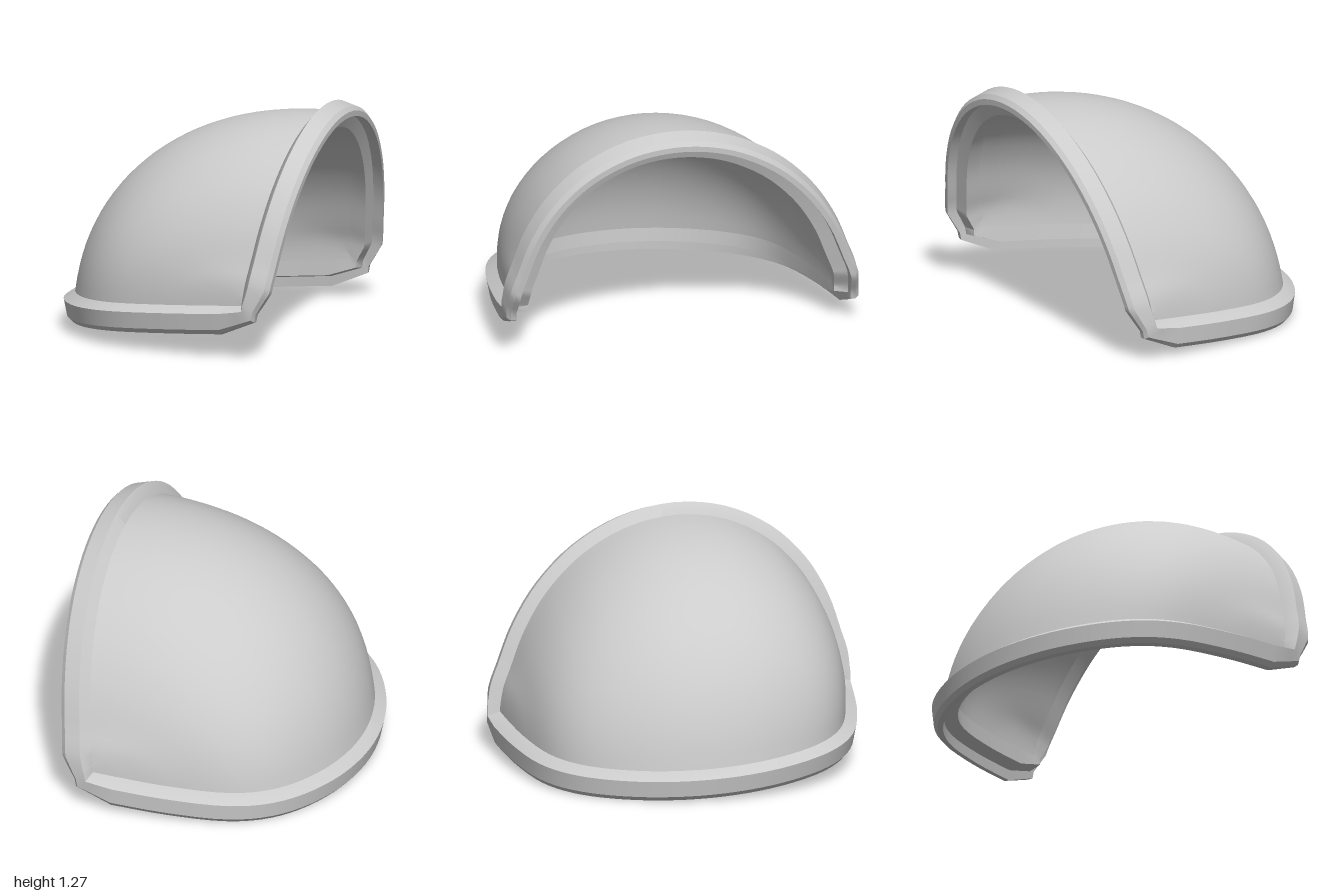
import * as THREE from 'three';
import { toCreasedNormals } from 'three/addons/utils/BufferGeometryUtils.js';

const ROWS = 56;   // steps across the hood, left corner to right corner
const COLS = 28;   // steps from the arch opening to the lower edge
const WALL = 0.075;

// Half outline: [z, height of the arch, x of the lower edge]
const HALF = [
  [0.93, 0.27, 0.47], [0.915, 0.36, 0.30], [0.88, 0.46, 0.04], [0.80, 0.67, -0.27],
  [0.68, 0.86, -0.46], [0.50, 1.03, -0.60], [0.26, 1.15, -0.70], [0, 1.19, -0.735],
];
const mirrored = HALF.slice(0, -1).reverse().map(([z, y, x]) => [-z, y, x]);
const outline = new THREE.CatmullRomCurve3(
  [...HALF, ...mirrored].map(([z, y, x]) => new THREE.Vector3(x, y, z)));

// Arch point and lower-edge point sharing the same z
function edges(i) {
  const p = outline.getPoint(i / ROWS);
  return {
    arch: new THREE.Vector3(0.485 + 0.168 * (p.y - 0.325), p.y, p.z),
    base: new THREE.Vector3(p.x, 0.15 + 0.067 * (p.x + 0.735), p.z),
  };
}

// Slight skew: the hood leans and turns a little to one side
const skew = new THREE.Matrix4().set(
  1, 0, -0.05, 0,
  0, 1, 0.045, 0,
  0.05, 0.06, 1, -0.037,
  0, 0, 0, 1);

// Surface through rows of points
function skin(rows, { closed = false, flip = false } = {}) {
  const n = rows[0].length, index = [];
  const steps = closed ? rows.length : rows.length - 1;
  for (let i = 0; i < steps; i++) {
    for (let j = 0; j < (closed ? n : n - 1); j++) {
      const i2 = (i + 1) % rows.length, j2 = (j + 1) % n;
      const a = i * n + j, b = i2 * n + j, c = i * n + j2, d = i2 * n + j2;
      if (flip) index.push(a, c, b, b, c, d);
      else index.push(a, b, c, b, d, c);
    }
  }
  const geo = new THREE.BufferGeometry().setFromPoints(rows.flat());
  geo.setIndex(index);
  geo.computeVertexNormals();
  return geo;
}

// Rounded dome: a quarter super-ellipse in every z slice
function domeRows() {
  const rows = [];
  for (let i = 0; i <= ROWS; i++) {
    const { arch, base } = edges(i);
    const centre = new THREE.Vector3(0.47, base.y, base.z);
    const up = arch.clone().sub(centre), back = base.clone().sub(centre);
    const row = [];
    for (let j = 0; j <= COLS; j++) {
      const t = (j / COLS) * Math.PI / 2;
      const c = Math.max(Math.cos(t), 0) ** 0.88, s = Math.sin(t) ** 0.88;
      row.push(centre.clone().addScaledVector(up, c).addScaledVector(back, s));
    }
    rows.push(row);
  }
  return rows;
}

// Same dome moved inward by the wall thickness
function innerRows(rows) {
  const normals = skin(rows).attributes.normal;
  const n = rows[0].length;
  return rows.map((row, i) => row.map((p, j) =>
    p.clone().addScaledVector(new THREE.Vector3().fromBufferAttribute(normals, i * n + j), -WALL)));
}

// Rim section: [outward, past the edge], with a raised lip and a recessed ledge
const RIM = [
  [-0.005, -0.005], [0.065, 0.035], [0.055, 0.125], [0.035, 0.15],
  [0.005, 0.155], [0, 0.10], [-WALL, 0.085], [-WALL, -0.01],
];

function rimRows() {
  const archDir = new THREE.Vector3(0.98, -0.2, 0);
  const baseDir = new THREE.Vector3(0.07, -1, 0);
  const cornerDir = new THREE.Vector3(0.55, -0.52, 0);
  const loop = [];
  const add = (p, dir, i) => {
    const w = Math.min(Math.min(i, ROWS - i) / 3, 1);   // bevelled turn at the corners
    loop.push({ p, d: cornerDir.clone().lerp(dir, w) });
  };
  for (let i = 0; i <= ROWS; i++) add(edges(i).arch, archDir, i);
  for (let i = ROWS; i >= 0; i--) add(edges(i).base, baseDir, i);

  return loop.map(({ p, d }, k) => {
    const next = loop[(k + 1) % loop.length].p;
    const prev = loop[(k - 1 + loop.length) % loop.length].p;
    const out = new THREE.Vector3().crossVectors(d, next.clone().sub(prev)).normalize();
    return RIM.map(([o, e]) => p.clone().addScaledVector(out, o).addScaledVector(d, e));
  });
}

export function createModel() {
  const group = new THREE.Group();
  group.name = 'hood';
  const material = new THREE.MeshStandardMaterial({ color: 0xcccccc, side: THREE.DoubleSide });

  const addPart = (name, geometry) => {
    const mesh = new THREE.Mesh(geometry, material);
    mesh.name = name;
    group.add(mesh);
  };
  const skewed = (geo) => {
    geo.applyMatrix4(skew);
    geo.computeVertexNormals();
    return geo;
  };

  const outer = domeRows();
  addPart('outerShell', skewed(skin(outer)));
  addPart('innerShell', skewed(skin(innerRows(outer), { flip: true })));
  addPart('rim', toCreasedNormals(skewed(skin(rimRows(), { closed: true, flip: true })), 0.45));
  return group;
}
